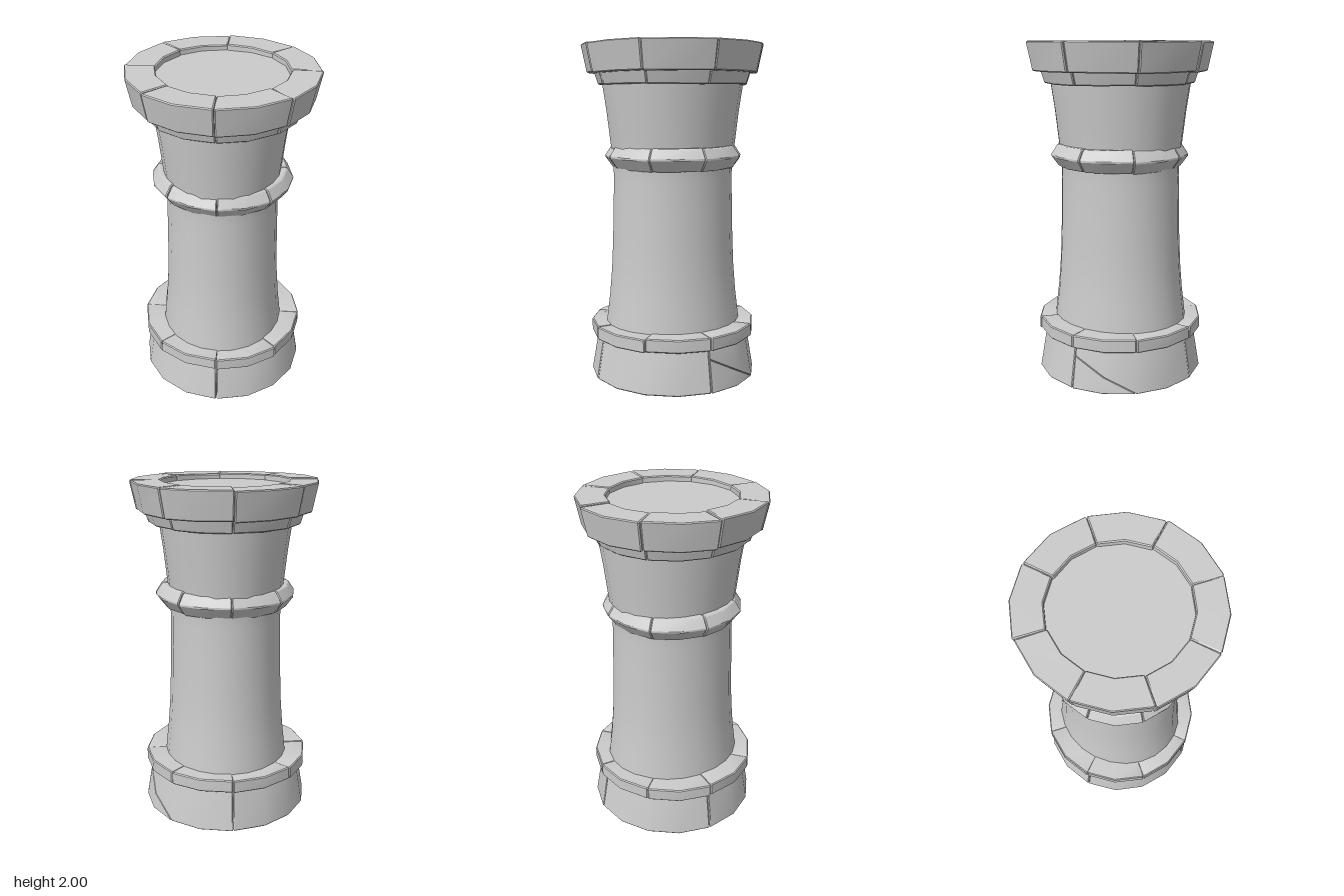
import * as THREE from 'three';
import { toCreasedNormals } from 'three/addons/utils/BufferGeometryUtils.js';

const stone = new THREE.MeshStandardMaterial({ color: 0xcccccc });
const openStone = new THREE.MeshStandardMaterial({ color: 0xcccccc, side: THREE.DoubleSide });

let seed = 7;
function jitter(size) {
  seed = (seed * 16807) % 2147483647;
  return (seed / 2147483647 * 2 - 1) * size;
}

// Cuts every corner of a convex [radius, height] loop
function chamfer(loop, b) {
  const out = [];
  const n = loop.length;
  loop.forEach((p, i) => {
    for (const q of [loop[(i + n - 1) % n], loop[(i + 1) % n]]) {
      const d = Math.hypot(q[0] - p[0], q[1] - p[1]);
      const t = Math.min(b / Math.max(d, 1e-6), 0.3);
      out.push([p[0] + (q[0] - p[0]) * t, p[1] + (q[1] - p[1]) * t]);
    }
  });
  return out;
}

function centre(loop) {
  const s = loop.reduce((a, p) => [a[0] + p[0], a[1] + p[1]], [0, 0]);
  return [s[0] / loop.length, s[1] / loop.length];
}

// Curved stone block: a counterclockwise profile swept from angle a0 to a1.
// profileAt(angle) returns the [radius, height] loop at that angle.
function stoneBlock(profileAt, a0, a1, segments, bevel = 0.006) {
  const sections = [];
  const edge = bevel / 0.45;
  const section = (a, shrink) => {
    const loop = chamfer(profileAt(a), bevel);
    const c = centre(loop);
    const pts = loop.map(([r, y]) => {
      const d = Math.hypot(r - c[0], y - c[1]);
      const k = shrink ? Math.max(1 - bevel / d, 0.6) : 1;
      return [c[0] + (r - c[0]) * k, c[1] + (y - c[1]) * k];
    });
    sections.push({ a, pts });
  };
  section(a0, true);
  for (let i = 0; i <= segments; i++) {
    section(a0 + edge + (a1 - a0 - 2 * edge) * i / segments, false);
  }
  section(a1, true);

  const pos = [], index = [];
  const put = (a, [r, y]) => pos.push(r * Math.sin(a), y, r * Math.cos(a));
  sections.forEach(s => s.pts.forEach(p => put(s.a, p)));
  const n = sections[0].pts.length, last = sections.length - 1;
  for (let k = 0; k < last; k++) {
    for (let i = 0; i < n; i++) {
      const j = (i + 1) % n, A = k * n, B = A + n;
      index.push(A + i, B + i, B + j, A + i, B + j, A + j);
    }
  }
  // End caps
  const first = pos.length / 3;
  put(a0, centre(sections[0].pts));
  put(a1, centre(sections[last].pts));
  for (let i = 0; i < n; i++) {
    const j = (i + 1) % n;
    index.push(first, i, j, first + 1, last * n + j, last * n + i);
  }
  const geo = new THREE.BufferGeometry();
  geo.setAttribute('position', new THREE.Float32BufferAttribute(pos, 3));
  geo.setIndex(index);
  return toCreasedNormals(geo, 0.45);
}

function addMesh(parent, geometry, name, material = stone) {
  const mesh = new THREE.Mesh(geometry, material);
  mesh.name = name;
  parent.add(mesh);
  return mesh;
}

// Ring of eight slightly uneven blocks
function blockRing(name, profile, wobble) {
  const ring = new THREE.Group();
  ring.name = name;
  const step = Math.PI / 4, gap = 0.002;
  for (let i = 0; i < 8; i++) {
    const dr = jitter(wobble), dy = jitter(wobble * 0.5), slope = jitter(wobble * 2);
    const mid = (i + 0.5) * step;
    const at = a => profile.map(([r, y]) => [r + dr, y + dy + slope * (a - mid)]);
    addMesh(ring, stoneBlock(at, i * step + gap, (i + 1) * step - gap, 2), name + 'Block');
  }
  return ring;
}

// Hollow foot of four large blocks, one of them split by a diagonal crack
function buildFoot() {
  const foot = new THREE.Group();
  foot.name = 'foot';
  const top = 0.255, q = Math.PI / 4, half = Math.PI / 2, gap = 0.003;
  const outer = y => 0.505 - 0.17 * y;
  const slab = (y0, y1) => [
    [0.34, y0], [outer(y0), y0], [outer(y1), y1], [0.34, y1],
  ];
  for (const i of [0, 2, 3]) {
    const a = i * half;
    addMesh(foot, stoneBlock(() => slab(0, top), a - q + gap, a + q - gap, 4), 'footBlock');
  }
  // Crack falls from the front seam to the ground at the middle of the block
  const crack = a => Math.max(0, 0.195 * (half - a) / q);
  addMesh(foot, stoneBlock(a => slab(crack(a), top), q + gap, 3 * q - gap, 4, 0.003),
    'crackedFootBlock');
  addMesh(foot, stoneBlock(a => slab(0, Math.max(crack(a) - 0.002, 0.004)),
    q + gap, half - 0.02, 2, 0.003), 'footChip');
  return foot;
}

export function createModel() {
  const tower = new THREE.Group();
  tower.name = 'stoneTower';

  tower.add(buildFoot());
  tower.add(blockRing('footTrim',
    [[0.35, 0.25], [0.5, 0.25], [0.5, 0.328], [0.35, 0.328]], 0.004));

  // Waisted shaft, slightly oval along one diagonal
  const outline = [
    [0.4, 0.29], [0.394, 0.36], [0.377, 0.5], [0.364, 0.66], [0.356, 0.84], [0.352, 1.02],
    [0.347, 1.2], [0.35, 1.3], [0.365, 1.42], [0.385, 1.6], [0.408, 1.76], [0.412, 1.82],
  ].map(p => new THREE.Vector2(...p));
  const shaft = new THREE.LatheGeometry(outline, 24);
  const oval = 0.05;
  shaft.applyMatrix4(new THREE.Matrix4().set(
    1, 0, -oval, 0,
    0, 1, 0, 0,
    -oval, 0, 1, 0,
    0, 0, 0, 1));
  addMesh(tower, shaft, 'shaft', openStone);

  tower.add(blockRing('collar',
    [[0.33, 1.265], [0.365, 1.265], [0.416, 1.335], [0.375, 1.397], [0.33, 1.397]], 0.004));
  tower.add(blockRing('crownTrim',
    [[0.37, 1.755], [0.443, 1.755], [0.468, 1.835], [0.37, 1.835]], 0.004));
  tower.add(blockRing('crown',
    [[0.37, 1.825], [0.51, 1.825], [0.545, 1.993], [0.373, 1.993]], 0.005));

  // Floor inside the crown
  const floor = addMesh(tower, new THREE.CircleGeometry(0.4, 32), 'floor', openStone);
  floor.rotation.x = -Math.PI / 2;
  floor.position.y = 1.96;

  return tower;
}
